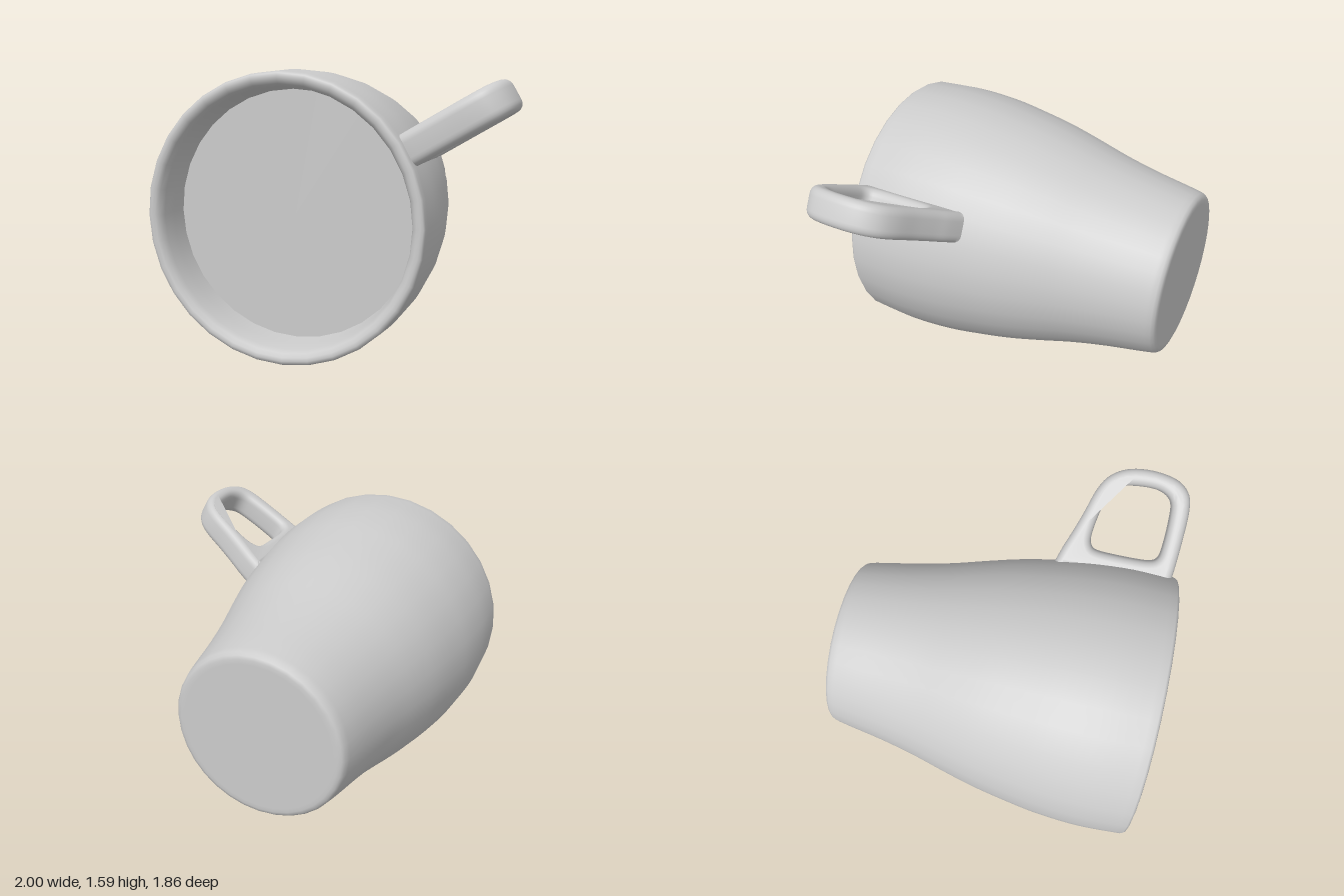
import * as THREE from 'three';
import { toCreasedNormals } from 'three/addons/utils/BufferGeometryUtils.js';

const material = new THREE.MeshStandardMaterial({ color: 0xcccccc });
const vec2s = (list) => list.map(([a, b]) => new THREE.Vector2(a, b));
const smooth = (list, steps) => new THREE.SplineCurve(vec2s(list)).getPoints(steps);

function addMesh(group, name, geometry) {
  const mesh = new THREE.Mesh(geometry, material);
  mesh.name = name;
  group.add(mesh);
  return mesh;
}

// Cup wall: flat base, swelling side, rounded rim and the inside down to the drink
function cupGeometry() {
  const side = smooth([
    [0.506, -0.88], [0.521, -0.8], [0.557, -0.6], [0.602, -0.4], [0.657, -0.2], [0.708, 0],
    [0.75, 0.22], [0.78, 0.42], [0.795, 0.67], [0.784, 0.915],
  ], 36);
  const profile = [
    ...vec2s([[0, -0.93], [0.44, -0.93], [0.465, -0.93], [0.485, -0.924], [0.499, -0.908]]),
    ...side,
    ...vec2s([[0.775, 0.928], [0.76, 0.932], [0.74, 0.93], [0.72, 0.915], [0.707, 0.88], [0.698, 0.8], [0.688, 0.69]]),
  ];
  return new THREE.LatheGeometry(profile, 32).rotateX(Math.PI / 2);
}

// Handle: rounded ring with a D-shaped opening; its foot widens into the wall
function handleGeometry() {
  const outline = new THREE.Shape(smooth([
    [0.73, 0.2], [0.84, 0.235], [0.93, 0.27], [1.05, 0.312], [1.2, 0.36], [1.29, 0.42], [1.345, 0.52],
    [1.36, 0.66], [1.335, 0.8], [1.27, 0.88], [1.17, 0.905], [1.0, 0.905], [0.82, 0.897], [0.73, 0.885],
  ], 60));
  const opening = smooth([
    [0.845, 0.6], [0.85, 0.73], [0.875, 0.787], [0.95, 0.803], [1.12, 0.805], [1.21, 0.79], [1.255, 0.73],
    [1.265, 0.64], [1.25, 0.52], [1.21, 0.45], [1.1, 0.41], [0.95, 0.385], [0.88, 0.393], [0.85, 0.44], [0.845, 0.6],
  ], 60);
  outline.holes.push(new THREE.Path(opening.slice(0, -1)));
  const geometry = new THREE.ExtrudeGeometry(outline, {
    depth: 0.08, bevelThickness: 0.05, bevelSize: 0.042, bevelOffset: -0.042, bevelSegments: 6,
  });
  geometry.translate(0, 0, -0.04).rotateX(Math.PI / 2);
  return toCreasedNormals(geometry, 0.8);
}

export function createModel() {
  const model = new THREE.Group();
  model.name = 'mug';

  // The mug lies on its side, its mouth to the front
  const body = new THREE.Group();
  body.name = 'mugBody';
  body.position.set(-0.205, 0.795, 0);
  model.add(body);
  addMesh(body, 'cup', cupGeometry());
  addMesh(body, 'drinkSurface', new THREE.CircleGeometry(0.69, 32).rotateZ(Math.PI / 2)).position.z = 0.71;

  // Handle tilted up on the left side
  const handle = addMesh(body, 'handle', handleGeometry());
  handle.rotation.z = Math.PI / 6;
  return model;
}
